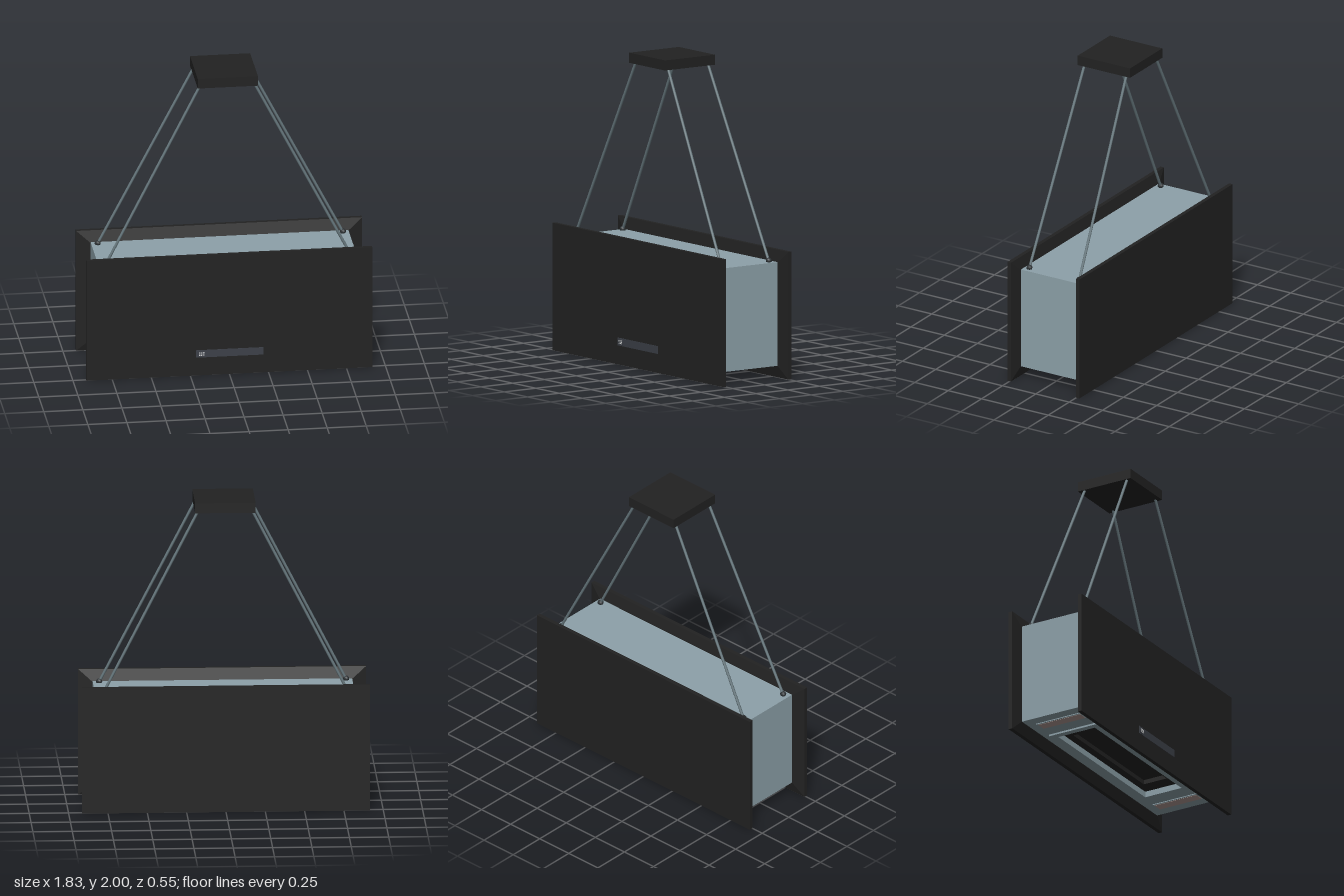
import * as THREE from 'three';

const mat = (name, color, side = THREE.FrontSide) => {
  const m = new THREE.MeshStandardMaterial({ color, side });
  m.name = name;
  return m;
};

export function createModel() {
  const black = mat('black panel', 0x222222);
  const glass = mat('blue grey body', 0x8da1a9);
  const steel = mat('cable steel', 0x66777d);
  const fitting = mat('dark fitting', 0x2c3134);
  const strip = mat('control slate', 0x3c4048);
  const lamp = mat('lamp', 0xb09a94);
  const white = mat('indicator white', 0xd8dadb);

  const model = new THREE.Group();
  model.name = 'hangingHood';
  const hood = new THREE.Group();
  hood.name = 'hood';
  hood.position.z = -0.004;
  model.add(hood);

  const add = (name, geo, m, x = 0, y = 0, z = 0) => {
    const mesh = new THREE.Mesh(geo, m);
    mesh.name = name;
    mesh.position.set(x, y, z);
    hood.add(mesh);
    return mesh;
  };
  const box = (name, m, w, h, d, x, y, z) => add(name, new THREE.BoxGeometry(w, h, d), m, x, y, z);

  // Horizontal rectangular ring between two heights
  const ring = (name, m, w, d, holeW, holeD, y0, y1) => {
    const rect = (T, a, b) => new T([
      new THREE.Vector2(-a / 2, -b / 2), new THREE.Vector2(a / 2, -b / 2),
      new THREE.Vector2(a / 2, b / 2), new THREE.Vector2(-a / 2, b / 2)]);
    const shape = rect(THREE.Shape, w, d);
    shape.holes.push(rect(THREE.Path, holeW, holeD));
    const geo = new THREE.ExtrudeGeometry(shape, { depth: y1 - y0, bevelEnabled: false });
    geo.rotateX(-Math.PI / 2);
    return add(name, geo, m, 0, y0, 0);
  };

  // Body: closed upper box over a lower ring that holds the intake
  box('bodyUpper', glass, 1.65, 0.605, 0.47, 0, 0.4425, 0);
  ring('bodyLower', glass, 1.65, 0.47, 1.06, 0.27, 0.078, 0.14);
  ring('intakeRim', glass, 1.14, 0.36, 1.06, 0.27, 0.066, 0.078);

  // Black intake with a stepped recess
  ring('intakeFrame', black, 1.06, 0.27, 0.86, 0.17, 0.105, 0.139);
  box('intakeFilter', black, 0.86, 0.004, 0.17, 0, 0.136, 0);

  // Lamps under both ends
  for (const s of [-1, 1]) {
    box('lampTrim', glass, 0.085, 0.008, 0.33, s * 0.71, 0.076, 0);
    box('lamp', lamp, 0.065, 0.008, 0.31, s * 0.71, 0.074, 0);
  }

  // Front and back panels: a slab whose inner face bevels to the body
  for (const s of [-1, 1]) {
    const w = 1.83, h = 0.82;
    box('panel', black, w, h, 0.026, 0, h / 2, s * 0.257);
    const bevel = new THREE.BoxGeometry(w, h, 0.018);
    const p = bevel.attributes.position;
    for (let i = 0; i < p.count; i++) {
      if (p.getZ(i) * s < 0) {
        p.setX(i, Math.sign(p.getX(i)) * 0.83);
        p.setY(i, Math.sign(p.getY(i)) * 0.335);
      }
    }
    const flat = bevel.toNonIndexed();
    flat.computeVertexNormals();
    add('panelBevel', flat, black, 0, h / 2, s * 0.235);
  }

  // Control strip with a small indicator
  box('controlStrip', strip, 0.43, 0.05, 0.004, 0.002, 0.148, 0.271);
  const knob = new THREE.CylinderGeometry(0.025, 0.025, 0.006, 20);
  knob.rotateX(Math.PI / 2);
  add('controlKnob', knob, strip, -0.178, 0.148, 0.273);
  for (const dx of [-0.013, 0, 0.013]) {
    for (const dy of [-0.009, 0, 0.009]) {
      box('indicatorDot', white, 0.009, 0.005, 0.002, -0.178 + dx, 0.148 + dy, 0.2765);
    }
  }

  // Ceiling canopy
  box('canopy', black, 0.385, 0.065, 0.392, 0, 1.9675, 0);

  // Four cables with end fittings
  const up = new THREE.Vector3(0, 1, 0);
  for (const sx of [-1, 1]) {
    for (const sz of [-1, 1]) {
      const a = new THREE.Vector3(sx * 0.785, 0.75, sz * 0.187);
      const b = new THREE.Vector3(sx * 0.17, 1.945, sz * 0.157);
      const dir = b.clone().sub(a);
      const cable = add('cable', new THREE.CylinderGeometry(0.009, 0.009, dir.length(), 8), steel);
      cable.position.copy(a).add(b).multiplyScalar(0.5);
      cable.quaternion.setFromUnitVectors(up, dir.normalize());
      add('cableFitting', new THREE.SphereGeometry(0.02, 8, 6), fitting, a.x, a.y + 0.003, a.z);
    }
  }
  return model;
}
